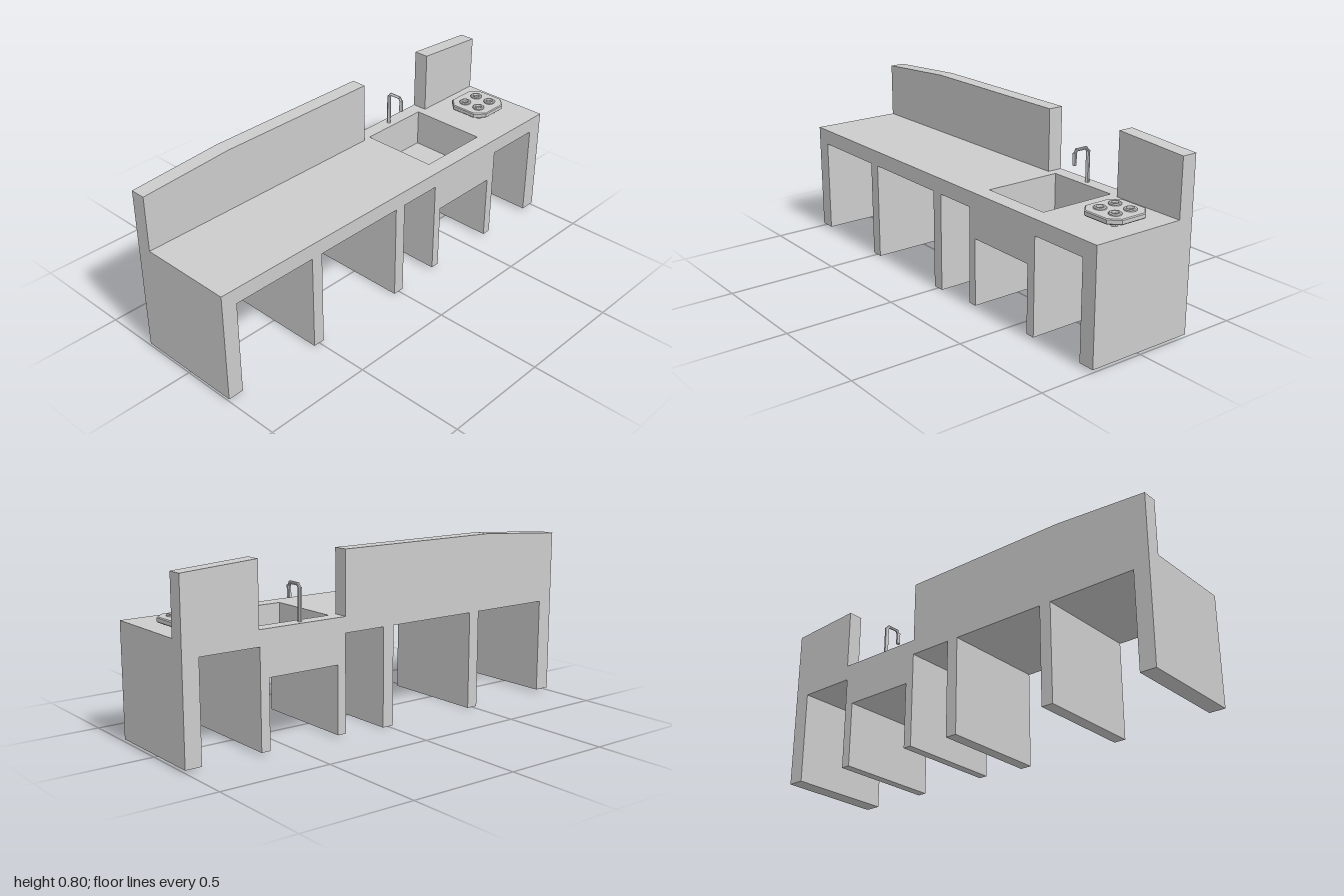
import * as THREE from 'three';

const material = new THREE.MeshStandardMaterial({ color: 0xcccccc, flatShading: true });

function add(parent, name, geometry, x = 0, y = 0, z = 0) {
  const mesh = new THREE.Mesh(geometry, material);
  mesh.name = name;
  mesh.position.set(x, y, z);
  parent.add(mesh);
  return mesh;
}

// Extrude a side profile of [z, y] points across the width from x0 to x1
function across(points, x0, x1) {
  const shape = new THREE.Shape(points.map(([z, y]) => new THREE.Vector2(-z, y)));
  const geometry = new THREE.ExtrudeGeometry(shape, { depth: x1 - x0, bevelEnabled: false });
  return geometry.rotateY(Math.PI / 2).translate(x0, 0, 0);
}

// Round bar between two points
function bar(parent, name, a, b, radius) {
  const from = new THREE.Vector3(...a), to = new THREE.Vector3(...b);
  const dir = to.clone().sub(from);
  const mesh = add(parent, name, new THREE.CylinderGeometry(radius, radius, dir.length(), 10));
  mesh.position.copy(from).add(to).multiplyScalar(0.5);
  mesh.quaternion.setFromUnitVectors(new THREE.Vector3(0, 1, 0), dir.normalize());
}

export function createModel() {
  const model = new THREE.Group();
  const top = 0.515, under = 0.445;

  // Counter: panel legs as [front z, back z, foot y], joined by the worktop
  const legs = [
    [1, 0.928, 0.012], [0.528, 0.474, 0], [0.027, -0.027, 0],
    [-0.23, -0.27, 0.012], [-0.61, -0.652, 0.012], [-0.926, -1, 0.012],
  ];
  const lower = [];
  legs.forEach(([z0, z1, foot], i) => {
    const before = i === 4 ? 0.315 : under; // lower soffit below the sink
    const after = i === 3 ? 0.315 : under;
    if (i > 0) lower.push([z0, before]);
    lower.push([z0, foot], [z1, foot]);
    if (i < legs.length - 1) lower.push([z1, after]);
  });
  const solid = [...lower, [-1, top], [1, top]];
  const notched = [...lower, [-1, top], [-0.613, top], [-0.613, 0.345], [-0.27, 0.345], [-0.27, top], [1, top]];
  const counter = new THREE.Group();
  counter.name = 'counter';
  model.add(counter);
  add(counter, 'counterBackStrip', across(solid, -0.25, -0.185));
  add(counter, 'counterWithSink', across(notched, -0.185, 0.175));
  add(counter, 'counterFrontStrip', across(solid, 0.175, 0.25));

  // Splashbacks with sloping ends
  add(model, 'longSplashback', across(
    [[1, top], [-0.23, top], [-0.23, 0.795], [0.57, 0.795], [1, 0.766]], -0.25, -0.18));
  add(model, 'shortSplashback', across(
    [[-0.655, top], [-1, top], [-1, 0.772], [-0.655, 0.795]], -0.25, -0.18));

  // Tap arching over the sink
  const tap = new THREE.Group();
  tap.name = 'tap';
  tap.position.z = -0.437;
  model.add(tap);
  bar(tap, 'tapPost', [-0.217, top, 0], [-0.217, 0.655, 0], 0.009);
  bar(tap, 'tapRearBend', [-0.217, 0.65, 0], [-0.204, 0.668, 0], 0.007);
  bar(tap, 'tapArm', [-0.207, 0.667, 0], [-0.149, 0.667, 0], 0.007);
  bar(tap, 'tapFrontBend', [-0.153, 0.668, 0], [-0.142, 0.65, 0], 0.007);
  bar(tap, 'tapSpout', [-0.142, 0.655, 0], [-0.142, 0.602, 0], 0.009);

  // Hob: chamfered plate on four feet
  const hob = new THREE.Group();
  hob.name = 'hob';
  hob.position.set(-0.001, 0, -0.83);
  model.add(hob);
  const h = 0.1, c = 0.06;
  const plate = new THREE.Shape([
    [h, -c], [h, c], [c, h], [-c, h], [-h, c], [-h, -c], [-c, -h], [c, -h],
  ].map(([x, y]) => new THREE.Vector2(x, y)));
  const plateGeometry = new THREE.ExtrudeGeometry(plate, {
    depth: 0.016, bevelThickness: 0.004, bevelSize: 0.004, bevelSegments: 1,
  });
  plateGeometry.rotateX(-Math.PI / 2);
  add(hob, 'hobPlate', plateGeometry, 0, 0.532, 0);

  // Burner rings and feet
  const ring = [[0.014, 0.55], [0.027, 0.55], [0.027, 0.557], [0.023, 0.561], [0.016, 0.561], [0.014, 0.557], [0.014, 0.55]]
    .map(([r, y]) => new THREE.Vector2(r, y));
  for (const sx of [-1, 1]) {
    for (const sz of [-1, 1]) {
      add(hob, 'burnerRing', new THREE.LatheGeometry(ring, 16), sx * 0.04, 0, sz * 0.042);
      add(hob, 'hobFoot', new THREE.CylinderGeometry(0.014, 0.014, 0.016, 12), sx * 0.059, 0.522, sz * 0.059);
    }
  }
  return model;
}
